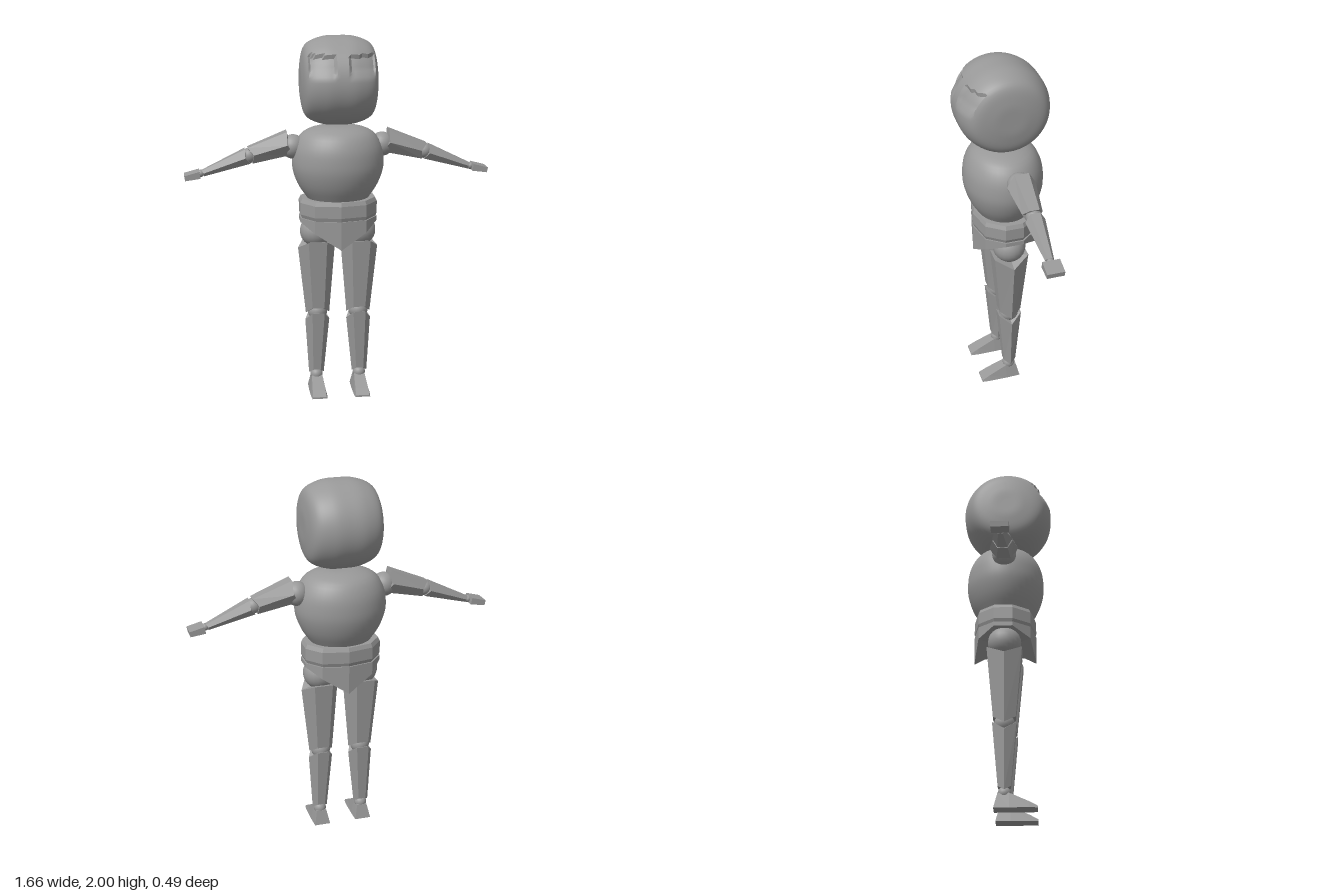
import * as THREE from 'three';
import { toCreasedNormals } from 'three/addons/utils/BufferGeometryUtils.js';

const V = (x, y, z) => new THREE.Vector3(x, y, z);

// Flat-faced solid from rings that run counter-clockwise about the loft direction
function loft(rings) {
  const pos = [];
  const tri = (...pts) => pts.forEach((p) => pos.push(p.x, p.y, p.z));
  const n = rings[0].length;
  for (let r = 0; r < rings.length - 1; r++) {
    const a = rings[r], b = rings[r + 1];
    for (let i = 0; i < n; i++) {
      const j = (i + 1) % n;
      tri(a[i], a[j], b[j]);
      tri(a[i], b[j], b[i]);
    }
  }
  const middle = (ring) => ring.reduce((s, p) => s.add(p), V(0, 0, 0)).divideScalar(n);
  const first = rings[0], last = rings[rings.length - 1];
  const c0 = middle(first), c1 = middle(last);
  for (let i = 0; i < n; i++) {
    const j = (i + 1) % n;
    tri(c0, first[j], first[i]);
    tri(c1, last[i], last[j]);
  }
  const g = new THREE.BufferGeometry();
  g.setAttribute('position', new THREE.Float32BufferAttribute(pos, 3));
  g.computeVertexNormals();
  return g;
}

// Tapered six-sided limb segment; the side corners slide along the axis by skew
function limb(start, end, u, [w0, d0, skew0], [w1, d1, skew1]) {
  const axis = end.clone().sub(start).normalize();
  const v = axis.clone().cross(u);
  const ring = (c, w, d, skew) =>
    [[1, 0], [0.5, 1], [-0.5, 1], [-1, 0], [-0.5, -1], [0.5, -1]].map(([a, b]) =>
      c.clone().addScaledVector(u, a * w).addScaledVector(v, b * d)
        .addScaledVector(axis, b === 0 ? skew : 0));
  return loft([ring(start, w0, d0, skew0), ring(end, w1, d1, skew1)]);
}

// Rectangular ring around a point
const quadRing = (c, u, v, a, b) =>
  [[1, 1], [-1, 1], [-1, -1], [1, -1]].map(([p, q]) =>
    c.clone().addScaledVector(u, p * a).addScaledVector(v, q * b));

function roundProfile(points, samples) {
  const curve = new THREE.CatmullRomCurve3(points.map(([r, h]) => V(r, h, 0)), false, 'centripetal');
  return curve.getPoints(samples).map((p) => new THREE.Vector2(Math.max(p.x, 0), p.y));
}

// Head: rounded drum lying across x, with two shallow eye sockets
function headGeometry() {
  const half = [[0.2375, 0], [0.231, 0.09], [0.19, 0.175], [0.1, 0.202], [0, 0.205]];
  const profile = [...half.slice(1).reverse().map(([r, h]) => [r, -h]), ...half];
  const g = new THREE.LatheGeometry(roundProfile(profile, 48), 96);
  g.rotateZ(Math.PI / 2);
  const p = g.attributes.position;
  for (let i = 0; i < p.count; i++) {
    const x = Math.abs(p.getX(i)), y = p.getY(i), z = p.getZ(i);
    if (z > 0 && x > 0.035 && x < 0.17 && y > 0.035 && y < 0.152) {
      const depth = 0.017 * Math.min(1, (y - 0.03) / 0.06);
      const k = 1 - depth / Math.hypot(y, z);
      p.setY(i, y * k);
      p.setZ(i, z * k);
    }
  }
  g.scale(1, 1, 1.03);
  g.translate(0, 1.7625, 0);
  return toCreasedNormals(g, 0.5);
}

// Torso: egg-shaped chest with a flat underside
function torsoGeometry() {
  const profile = roundProfile([[0.165, 1.115], [0.215, 1.19], [0.245, 1.27], [0.25, 1.33],
    [0.237, 1.41], [0.19, 1.48], [0.1, 1.513], [0, 1.516]], 24);
  const g = new THREE.LatheGeometry([new THREE.Vector2(0, 1.115), ...profile], 40);
  g.scale(1, 1, 0.85);
  g.translate(0, 0, -0.013);
  return toCreasedNormals(g, 0.6);
}

// Hip outline seen from above, starting at the front centre
const right = [[0.14, 0.125], [0.21, 0.03], [0.21, -0.07], [0.14, -0.155]];
const hipOutline = [[0, 0.155], ...right, [0, -0.185],
  ...right.slice().reverse().map(([x, z]) => [-x, z])];
const hipRing = (s, y) => hipOutline.map(([x, z]) =>
  V(x * s, typeof y === 'function' ? y(Math.abs(x)) : y, z * s));

export function createModel() {
  const model = new THREE.Group();
  const grey = new THREE.MeshStandardMaterial({ color: 0x999999 });
  grey.name = 'plain grey';

  const add = (name, geometry, parent = model) => {
    const mesh = new THREE.Mesh(geometry, grey);
    mesh.name = name;
    parent.add(mesh);
    return mesh;
  };
  const ball = (name, c, r, parent) =>
    add(name, new THREE.SphereGeometry(r, 20, 14), parent).position.copy(c);

  add('head', headGeometry());
  add('torso', torsoGeometry());
  add('waist', loft([hipRing(0.95, 1.01), hipRing(1, 1.035), hipRing(1, 1.1), hipRing(0.95, 1.122)]));
  // Pelvis narrows to a ridge between the legs
  add('pelvis', loft([hipRing(1, (x) => 0.857 + x * 0.64), hipRing(1, 1.015)]));

  for (const s of [1, -1]) {
    const side = s > 0 ? 'left' : 'right';

    // Leg
    const leg = new THREE.Group();
    leg.name = side + 'Leg';
    model.add(leg);
    const X = V(1, 0, 0), z = -0.015;
    ball('hipJoint', V(s * 0.12, 0.93, z), 0.09, leg);
    add('thigh', limb(V(s * 0.12, 0.885, z), V(s * 0.115, 0.495, z), X,
      [0.102, 0.095, 0.05], [0.066, 0.06, 0.04]), leg);
    ball('kneeJoint', V(s * 0.115, 0.465, z), 0.055, leg);
    add('calf', limb(V(s * 0.115, 0.465, z), V(s * 0.122, 0.12, z), X,
      [0.068, 0.064, 0.05], [0.042, 0.034, 0.025]), leg);
    ball('ankleJoint', V(s * 0.122, 0.085, z), 0.035, leg);
    const footRing = (fz, bottom, top, h) =>
      [V(bottom, 0, fz), V(top, h, fz), V(-top, h, fz), V(-bottom, 0, fz)];
    const heel = footRing(-0.07, 0.045, 0.028, 0.08);
    heel[1].z = heel[2].z = -0.05;
    add('foot', loft([heel, footRing(0.01, 0.047, 0.03, 0.082),
      footRing(0.11, 0.046, 0.036, 0.035), footRing(0.155, 0.042, 0.038, 0.01)]), leg)
      .position.x = s * 0.121;

    // Arm
    const arm = new THREE.Group();
    arm.name = side + 'Arm';
    arm.position.z = s > 0 ? -0.03 : -0.013;
    model.add(arm);
    const P = (x, y) => V(s * x, y, 0), Z = V(0, 0, 1);
    ball('shoulderJoint', P(0.245, 1.405), 0.066, arm);
    add('upperArm', limb(P(0.26, 1.43), P(0.477, 1.364), Z,
      [0.078, 0.064, 0.02], [0.054, 0.045, -0.02]), arm);
    ball('elbowJoint', P(0.48, 1.362), 0.042, arm);
    add('forearm', limb(P(0.49, 1.36), P(0.732, 1.271), Z,
      [0.053, 0.042, 0.015], [0.024, 0.017, -0.005]), arm);
    ball('wristJoint', P(0.742, 1.27), 0.02, arm);
    const a = P(0.748, 1.268), b = P(0.829, 1.252);
    const up = b.clone().sub(a).normalize().cross(Z);
    add('hand', loft([quadRing(a, Z, up, 0.046, 0.019), quadRing(b, Z, up, 0.046, 0.014)]), arm);
  }
  return model;
}
